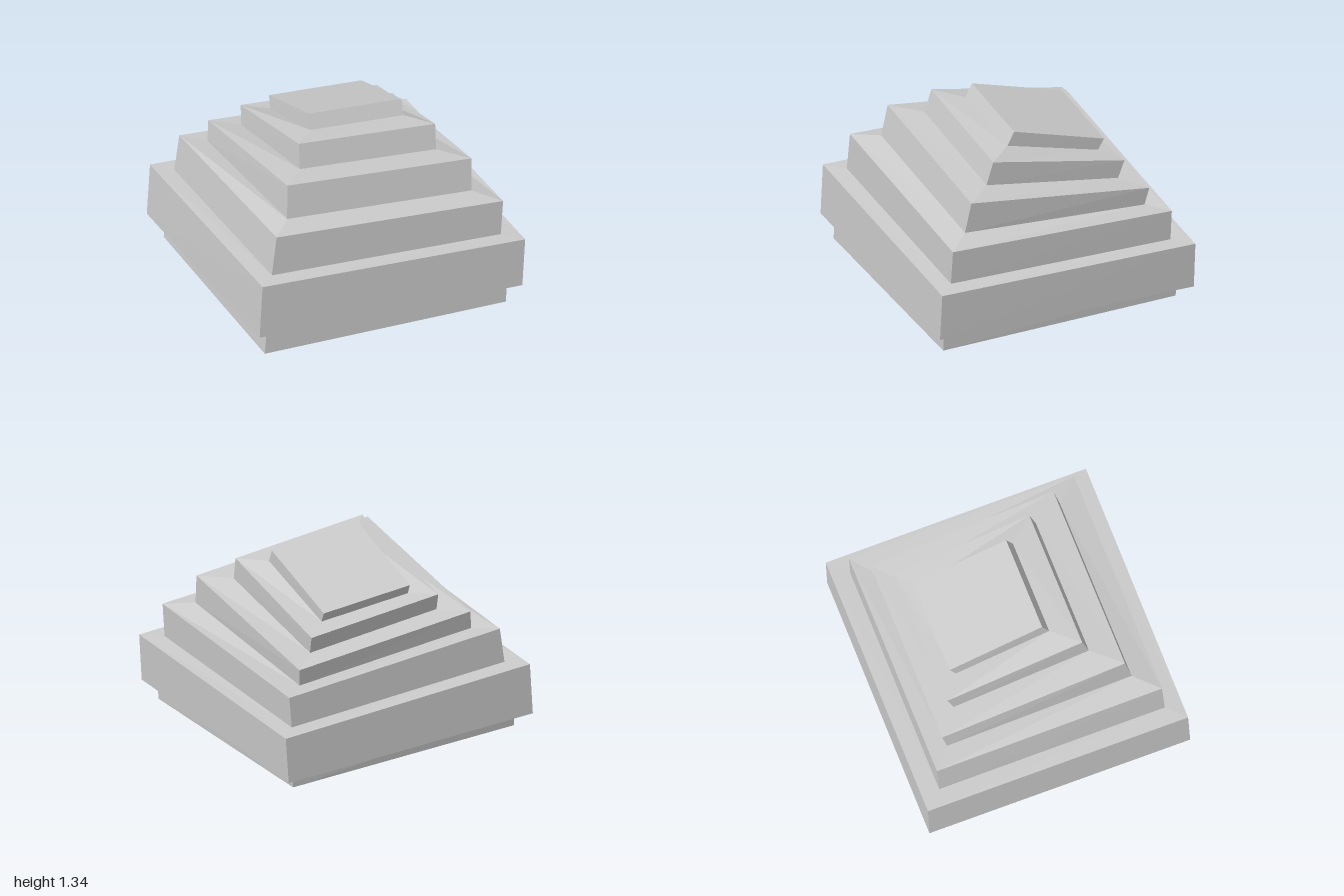
import * as THREE from 'three';

const material = new THREE.MeshStandardMaterial({ color: 0xcccccc, flatShading: true });
const SKEW = 0.016; // slight turn about the vertical

// Four corners of a tilted square: front-left, front-right, back-right, back-left as seen from the front
function ring(cx, cy, cz, width, depth, dropAcross, dropBack) {
  return [[-1, 1], [1, 1], [1, -1], [-1, -1]].map(([sx, sz]) => new THREE.Vector3(
    cx + (sx * width + sz * SKEW * depth) / 2,
    Math.max(0, cy + (sz * dropBack - sx * dropAcross) / 2),
    cz + (sz * depth - sx * SKEW * width) / 2));
}

// Band of four quads joining two rings
function band(a, b) {
  const out = [];
  for (let i = 0; i < 4; i++) {
    const j = (i + 1) % 4;
    out.push(a[i], a[j], b[j], a[i], b[j], b[i]);
  }
  return out;
}

const cap = (r) => [r[0], r[1], r[2], r[0], r[2], r[3]];

function mesh(name, points) {
  const geometry = new THREE.BufferGeometry().setFromPoints(points);
  geometry.computeVertexNormals();
  const m = new THREE.Mesh(geometry, material);
  m.name = name;
  return m;
}

export function createModel() {
  const group = new THREE.Group();
  group.name = 'tiltedSteppedStack';

  // Bottom and top ring of each tier, from the ground up
  const tiers = [
    ['base', ring(-0.025, 0.02, 0.01, 1.785, 1.73, 0, -0.04), ring(-0.012, 0.153, 0.005, 1.78, 1.735, 0.03, 0.005)],
    ['wideTier', ring(-0.012, 0.154, -0.004, 1.945, 1.89, 0.033, 0.007), ring(0.012, 0.515, -0.008, 1.945, 1.885, 0.07, 0.015)],
    ['secondTier', ring(0.01, 0.517, -0.005, 1.695, 1.635, 0.065, 0.02), ring(0.039, 0.771, -0.009, 1.677, 1.63, 0.097, 0.043)],
    ['thirdTier', ring(0.033, 0.784, -0.026, 1.365, 1.337, 0.088, 0.078), ring(0.051, 0.966, -0.06, 1.363, 1.325, 0.098, 0.172)],
    ['fourthTier', ring(0.051, 0.973, -0.081, 1.008, 0.98, 0.075, 0.16), ring(0.063, 1.124, -0.124, 1.009, 0.978, 0.073, 0.2)],
    ['topTier', ring(0.066, 1.13, -0.15, 0.688, 0.675, 0.04, 0.18), ring(0.074, 1.22, -0.195, 0.685, 0.67, 0.04, 0.2)],
  ];

  // The base is pulled in at its back corner
  tiers[0][1][3].z += 0.04;
  tiers[0][2][3].z += 0.03;

  // Each tier: its walls plus the ledge running to the next tier
  tiers.forEach(([name, bottom, top], i) => {
    const next = tiers[i + 1];
    group.add(mesh(name, [...band(bottom, top), ...(next ? band(top, next[1]) : cap(top))]));
  });
  group.add(mesh('underside', cap(tiers[0][1]).reverse()));

  return group;
}
